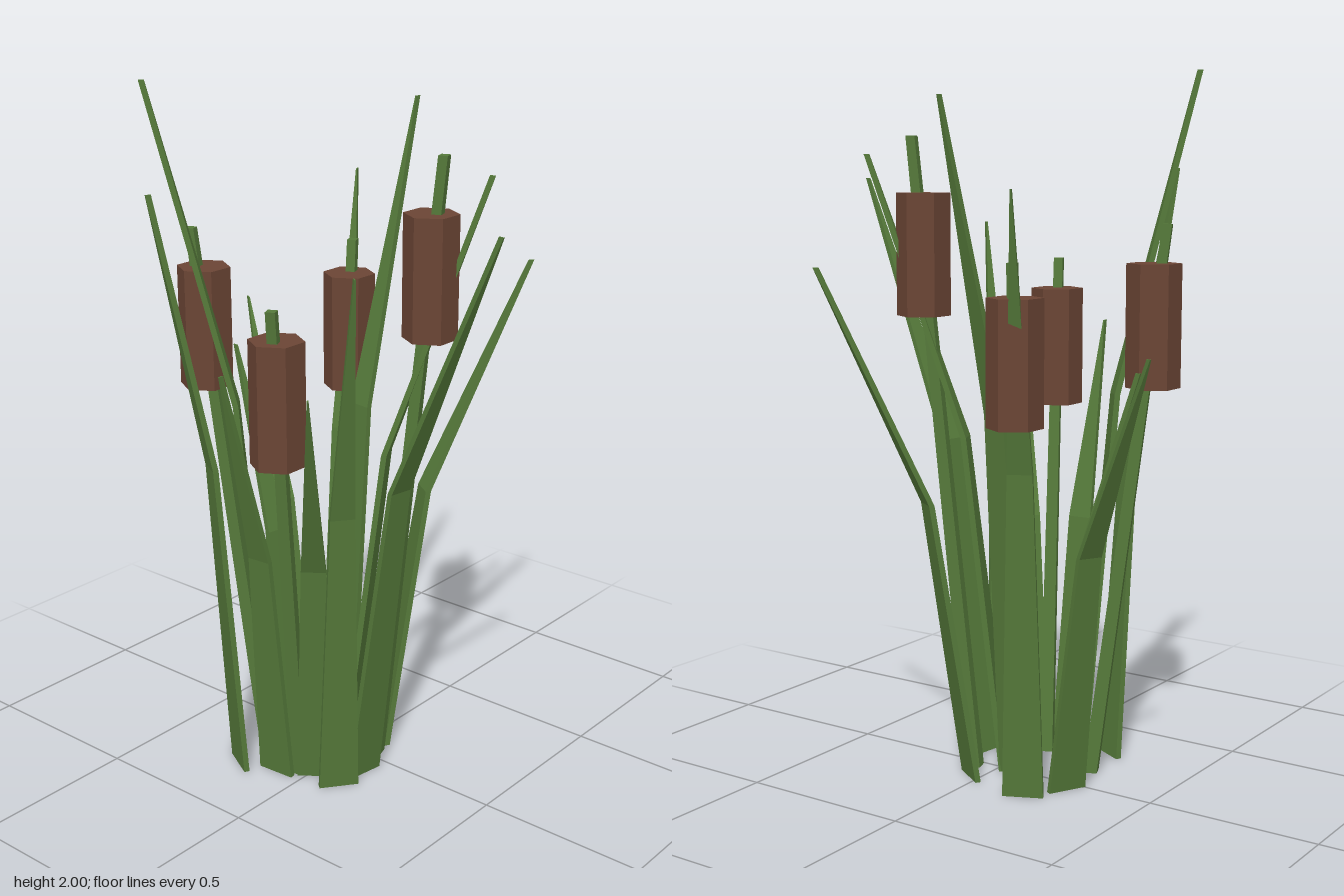
import * as THREE from 'three';

const green = new THREE.MeshStandardMaterial({ color: 0x55793a, flatShading: true });
green.name = 'leaf green';
const brown = new THREE.MeshStandardMaterial({ color: 0x6b4535, flatShading: true });
brown.name = 'seed head brown';

// Each leaf: base x, base z, tip x, tip z, height
const LEAVES = [
  [-0.255, -0.045, -0.607, -0.23, 1.26],
  [-0.20, 0.037, -0.445, 0.0, 1.19],
  [-0.185, 0.14, -0.43, 0.35, 2.0],
  [-0.20, 0.278, -0.30, 0.465, 1.73],
  [-0.085, 0.243, -0.07, 0.45, 1.28],
  [0.02, 0.185, 0.217, 0.435, 1.27],
  [0.105, 0.187, 0.27, 0.315, 1.57],
  [0.115, 0.086, 0.605, 0.165, 1.7],
  [0.0, 0.02, 0.355, -0.15, 1.77],
  [0.028, -0.11, 0.273, -0.47, 1.47],
  [-0.075, -0.032, -0.03, -0.325, 1.92],
  [-0.183, -0.157, -0.278, -0.36, 1.68],
];

// Each cattail: stem base x, z, stem tip x, z, stem height, height of the head's middle
const CATTAILS = [
  [-0.15, -0.09, -0.227, -0.278, 1.49, 1.225],
  [0.07, -0.03, 0.245, -0.085, 1.82, 1.49],
  [-0.235, 0.12, -0.42, 0.195, 1.58, 1.3],
  [-0.03, 0.2, 0.055, 0.387, 1.465, 1.205],
];

// Thin tapered blade that bends outwards a little above its middle
function makeLeaf([bx, bz, tx, tz, height]) {
  const reach = Math.hypot(tx - bx, tz - bz);
  const dx = (tx - bx) / reach, dz = (tz - bz) / reach;
  const rows = [
    { y: 0, out: 0, width: 0.115 },
    { y: 0.55 * height, out: 0.29 * reach, width: 0.07 },
    { y: height, out: reach, width: 0.004 },
  ];
  const geometry = new THREE.BoxGeometry(1, 2, 0.016, 1, 2, 1);
  const p = geometry.attributes.position;
  for (let i = 0; i < p.count; i++) {
    const row = rows[Math.round(p.getY(i) + 1)];
    const side = p.getX(i) * row.width;
    const out = p.getZ(i) + row.out;
    p.setXYZ(i, bx + dz * side + dx * out, row.y, bz - dx * side + dz * out);
  }
  geometry.computeVertexNormals();
  const leaf = new THREE.Mesh(geometry, green);
  leaf.name = 'leaf';
  return leaf;
}

// Straight leaning stem with an upright hexagonal seed head
function makeCattail([bx, bz, tx, tz, height, headY]) {
  const group = new THREE.Group();
  group.name = 'cattail';

  const stemGeometry = new THREE.CylinderGeometry(0.019, 0.028, height, 4);
  const p = stemGeometry.attributes.position;
  const angle = Math.atan2(tx - bx, tz - bz) + Math.PI / 4;
  stemGeometry.rotateY(angle);
  for (let i = 0; i < p.count; i++) {
    const t = p.getY(i) / height + 0.5;
    p.setXYZ(i, p.getX(i) + bx + (tx - bx) * t, t * height, p.getZ(i) + bz + (tz - bz) * t);
  }
  stemGeometry.computeVertexNormals();
  const stem = new THREE.Mesh(stemGeometry, green);
  stem.name = 'stem';

  const t = headY / height;
  const head = new THREE.Mesh(new THREE.CylinderGeometry(0.077, 0.077, 0.345, 6), brown);
  head.name = 'seedHead';
  head.position.set(bx + (tx - bx) * t, headY, bz + (tz - bz) * t);

  group.add(stem, head);
  return group;
}

export function createModel() {
  const model = new THREE.Group();
  model.name = 'cattailClump';
  LEAVES.forEach((leaf) => model.add(makeLeaf(leaf)));
  CATTAILS.forEach((cattail) => model.add(makeCattail(cattail)));
  return model;
}
